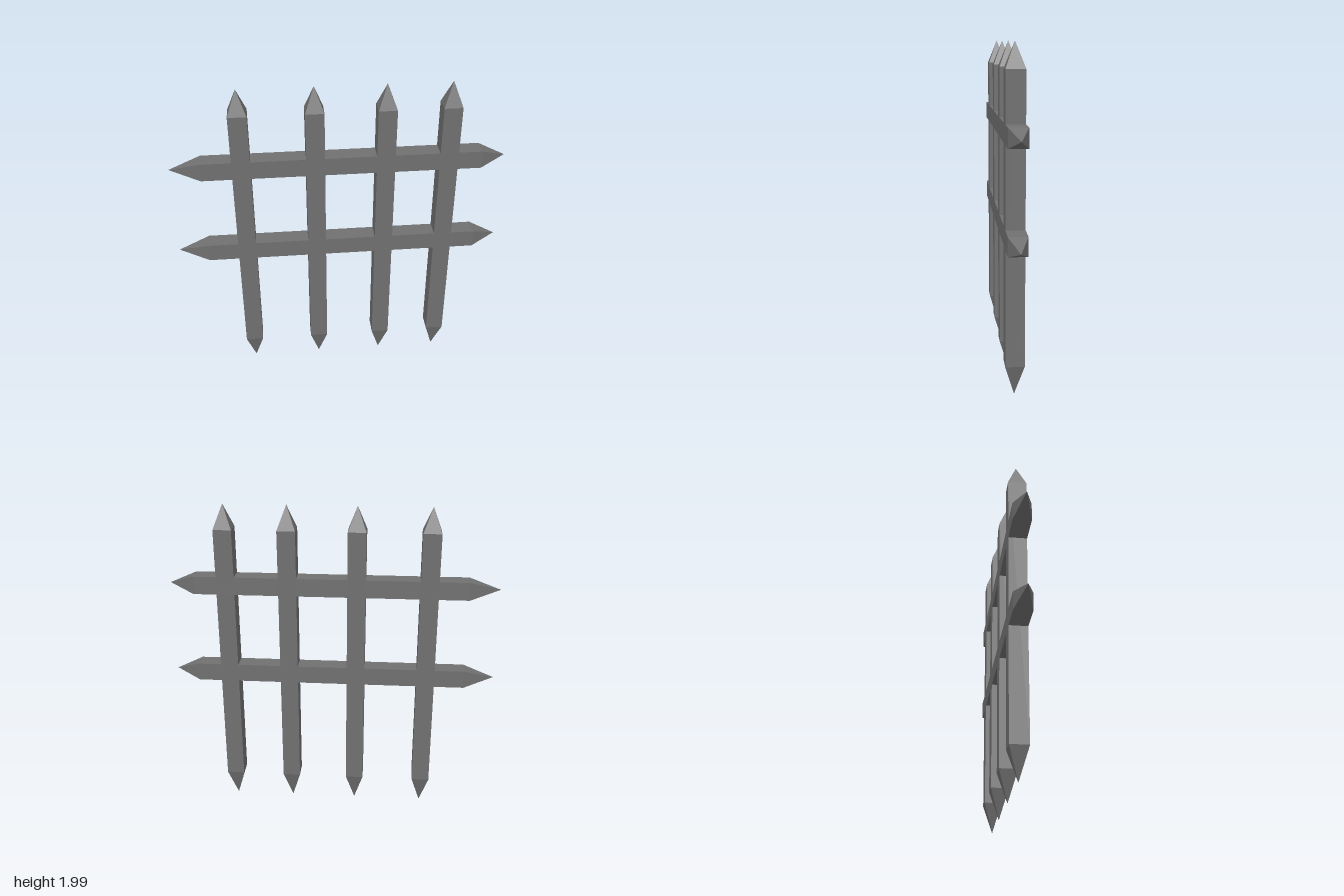
import * as THREE from 'three';

const HALF = 0.055; // half thickness of every bar

// Square bar along y, pointed at both ends
function pointedBar(start, lowShoulder, highShoulder, end) {
  const r = HALF * Math.SQRT2;
  const profile = [[0, start], [r, lowShoulder], [r, highShoulder], [0, end]]
    .map(([x, y]) => new THREE.Vector2(x, y));
  const geometry = new THREE.LatheGeometry(profile, 4).rotateY(Math.PI / 4).toNonIndexed();
  geometry.computeVertexNormals();
  return geometry;
}

export function createModel() {
  const model = new THREE.Group();
  model.name = 'spikedGate';
  const material = new THREE.MeshStandardMaterial({ color: 0x707070, flatShading: true });

  // Upright bars, unevenly spaced
  const uprightGeometry = pointedBar(0, 0.187, 1.84, 1.985);
  [-0.577, -0.141, 0.276, 0.653].forEach((x, i) => {
    const upright = new THREE.Mesh(uprightGeometry, material);
    upright.name = `upright${i + 1}`;
    upright.position.x = x;
    model.add(upright);
  });

  // Cross rails, laid along x
  const railGeometry = pointedBar(-1, -0.815, 0.85, 1).rotateZ(-Math.PI / 2);
  [['lowerRail', 0.924], ['upperRail', 1.497]].forEach(([name, y]) => {
    const rail = new THREE.Mesh(railGeometry, material);
    rail.name = name;
    rail.position.y = y;
    model.add(rail);
  });

  return model;
}
